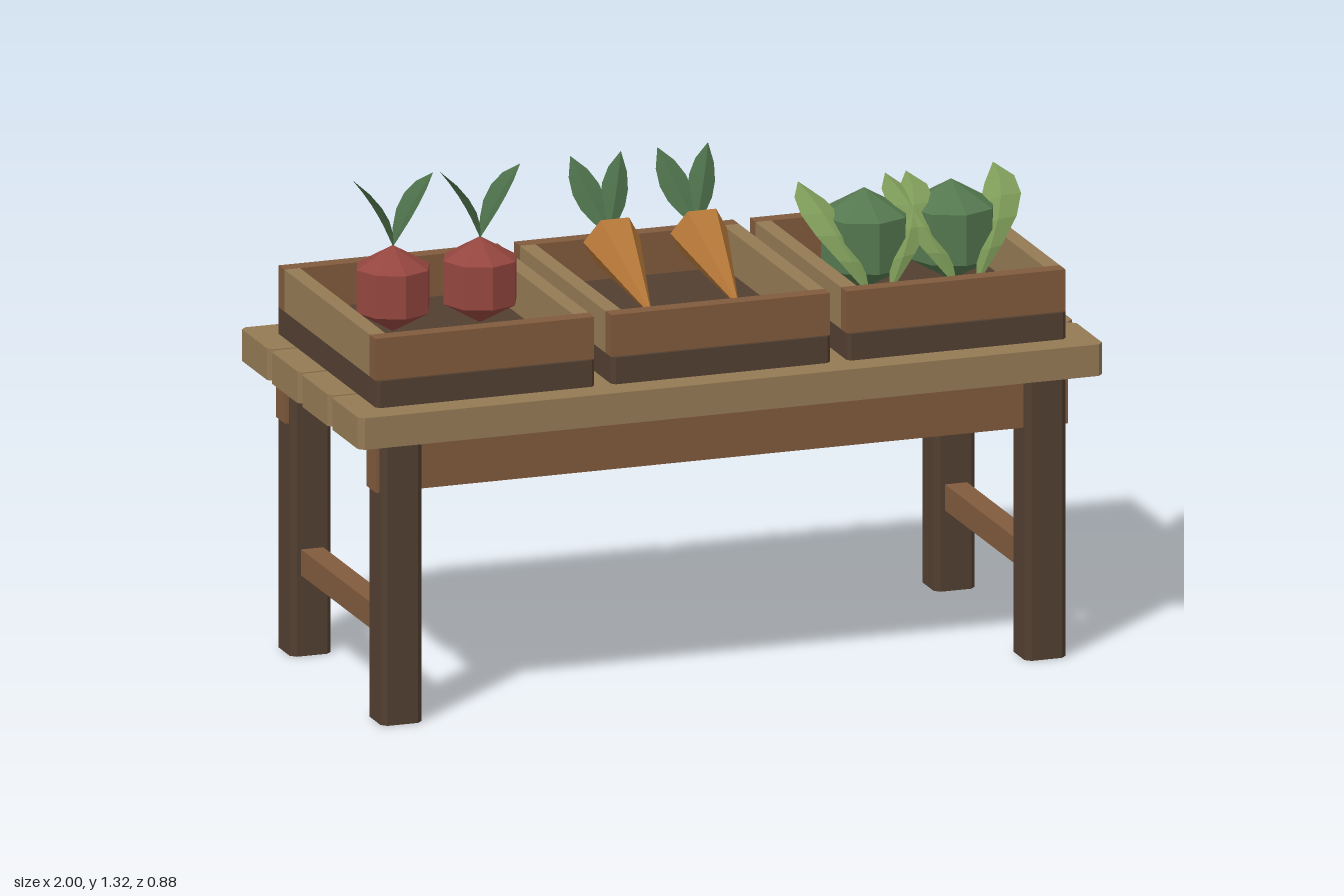
import * as THREE from 'three';

const material = (color, side = THREE.FrontSide) =>
  new THREE.MeshStandardMaterial({ color, flatShading: true, side });
const PALE = material(0x957a55), BROWN = material(0x805a3c), DARK = material(0x523f31);
const RED = material(0x94463f), ORANGE = material(0xb47638), GREEN = material(0x55784f);
const LEAF = material(0x4d704a, THREE.DoubleSide), LIGHT_LEAF = material(0x7d9a58, THREE.DoubleSide);

function add(parent, name, geometry, mat, x = 0, y = 0, z = 0) {
  const mesh = new THREE.Mesh(geometry, mat);
  mesh.name = name;
  mesh.position.set(x, y, z);
  parent.add(mesh);
  return mesh;
}

function group(parent, name, x = 0, y = 0, z = 0) {
  const g = new THREE.Group();
  g.name = name;
  g.position.set(x, y, z);
  parent.add(g);
  return g;
}

// Box with its four upright edges chamfered, standing on y = 0
function timber(w, h, d, c = 0.014) {
  const x = w / 2, z = d / 2;
  const outline = [[x, z - c], [x - c, z], [c - x, z], [-x, z - c],
    [-x, c - z], [c - x, -z], [x - c, -z], [x, c - z]];
  const shape = new THREE.Shape(outline.map(([a, b]) => new THREE.Vector2(a, b)));
  return new THREE.ExtrudeGeometry(shape, { depth: h, bevelEnabled: false }).rotateX(-Math.PI / 2);
}

// Folded leaf blade swept along a bent midrib; widths taper from stem to tip
function leaf(base, bend, tip, side, halfWidth, fold) {
  const curve = new THREE.QuadraticBezierCurve3(...[base, bend, tip].map(p => new THREE.Vector3(...p)));
  const across = new THREE.Vector3(...side).normalize();
  const widths = [0.08, 0.6, 0.95, 1, 0.72, 0];
  const n = widths.length - 1, positions = [], index = [];
  widths.forEach((w, i) => {
    const p = curve.getPoint(i / n);
    const normal = curve.getTangent(i / n).cross(across).normalize();
    for (const s of [-1, 0, 1]) {
      const v = p.clone().addScaledVector(across, s * w * halfWidth);
      if (s !== 0) v.addScaledVector(normal, fold * w);
      positions.push(v.x, v.y, v.z);
    }
  });
  for (let i = 0; i < n; i++) for (let j = 0; j < 2; j++) {
    const a = i * 3 + j, b = a + 3;
    index.push(a, a + 1, b, a + 1, b + 1, b);
  }
  const geometry = new THREE.BufferGeometry();
  geometry.setAttribute('position', new THREE.Float32BufferAttribute(positions, 3));
  geometry.setIndex(index);
  geometry.computeVertexNormals();
  return geometry;
}

function addTable(root) {
  const table = group(root, 'table');
  for (let i = 0; i < 4; i++)
    add(table, 'topPlank', timber(2, 0.083, 0.214), PALE, 0, 0.747, (i - 1.5) * 0.223);
  for (const s of [-1, 1]) {
    for (const t of [-1, 1])
      add(table, 'leg', timber(0.11, 0.747, 0.11), DARK, s * 0.865, 0, t * 0.335);
    add(table, 'apron', new THREE.BoxGeometry(1.86, 0.138, 0.07), BROWN, 0, 0.678, s * 0.335);
    add(table, 'stretcher', new THREE.BoxGeometry(0.06, 0.068, 0.62), BROWN, s * 0.865, 0.247, 0);
  }
}

// Tray with a dark floor, long rails front and back and pale end boards
function addCrate(root, x) {
  const crate = group(root, 'crate', x, 0.83, 0);
  add(crate, 'crateFloor', timber(0.588, 0.07, 0.734, 0.01), DARK);
  for (const s of [-1, 1]) {
    add(crate, 'crateLongRail', new THREE.BoxGeometry(0.588, 0.11, 0.042), BROWN, 0, 0.125, s * 0.336);
    add(crate, 'crateEndBoard', new THREE.BoxGeometry(0.042, 0.11, 0.63), PALE, s * 0.273, 0.125, 0);
  }
}

function addRadish(root, x) {
  const radish = group(root, 'radish', x, 1.03, 0);
  add(radish, 'radishBulb', new THREE.SphereGeometry(0.113, 8, 3), RED);
  for (const s of [-1, 1])
    add(radish, 'radishLeaf',
      leaf([0, 0.11, 0], [s * 0.04, 0.21, 0], [s * 0.108, 0.293, 0], [0, 0, 1], 0.055, s * -0.01), LEAF);
}

function addCarrot(root, x) {
  const carrot = group(root, 'carrot', x, 0, 0);
  // Root leans from the raised crown down to its tip near the front
  const profile = [[0, 0], [0.076, 0.325], [0, 0.36]].map(p => new THREE.Vector2(...p));
  const body = add(carrot, 'carrotRoot', new THREE.LatheGeometry(profile, 6, Math.PI / 6 * 3), ORANGE, 0, 0.94, 0.177);
  body.rotation.x = -1.19;
  for (const s of [-1, 1])
    add(carrot, 'carrotLeaf',
      leaf([0, 1.07, -0.145], [s * 0.035, 1.16, -0.18], [s * 0.068, 1.255, -0.243],
        [1, -s * 0.36, 0], 0.037, 0.012), LEAF);
}

function addCabbage(root, x) {
  const cabbage = group(root, 'cabbage', x, 1.037, 0);
  add(cabbage, 'cabbageHead', new THREE.SphereGeometry(0.133, 8, 3), GREEN);
  // Outer leaves rise from the front and curl back over the head
  for (const s of [-1, 1])
    add(cabbage, 'cabbageLeaf',
      leaf([s * 0.03, -0.11, 0.115], [s * 0.135, 0.11, 0.1], [s * 0.145, 0.138, -0.09],
        [1, s * 0.15, 0], 0.056, 0.012), LIGHT_LEAF);
}

export function createModel() {
  const root = new THREE.Group();
  root.name = 'vegetableStall';
  addTable(root);
  const fillings = [addRadish, addCarrot, addCabbage];
  fillings.forEach((addVegetable, i) => {
    const x = (i - 1) * 0.633;
    addCrate(root, x);
    for (const s of [-1, 1]) addVegetable(root, x + s * 0.117);
  });
  return root;
}
